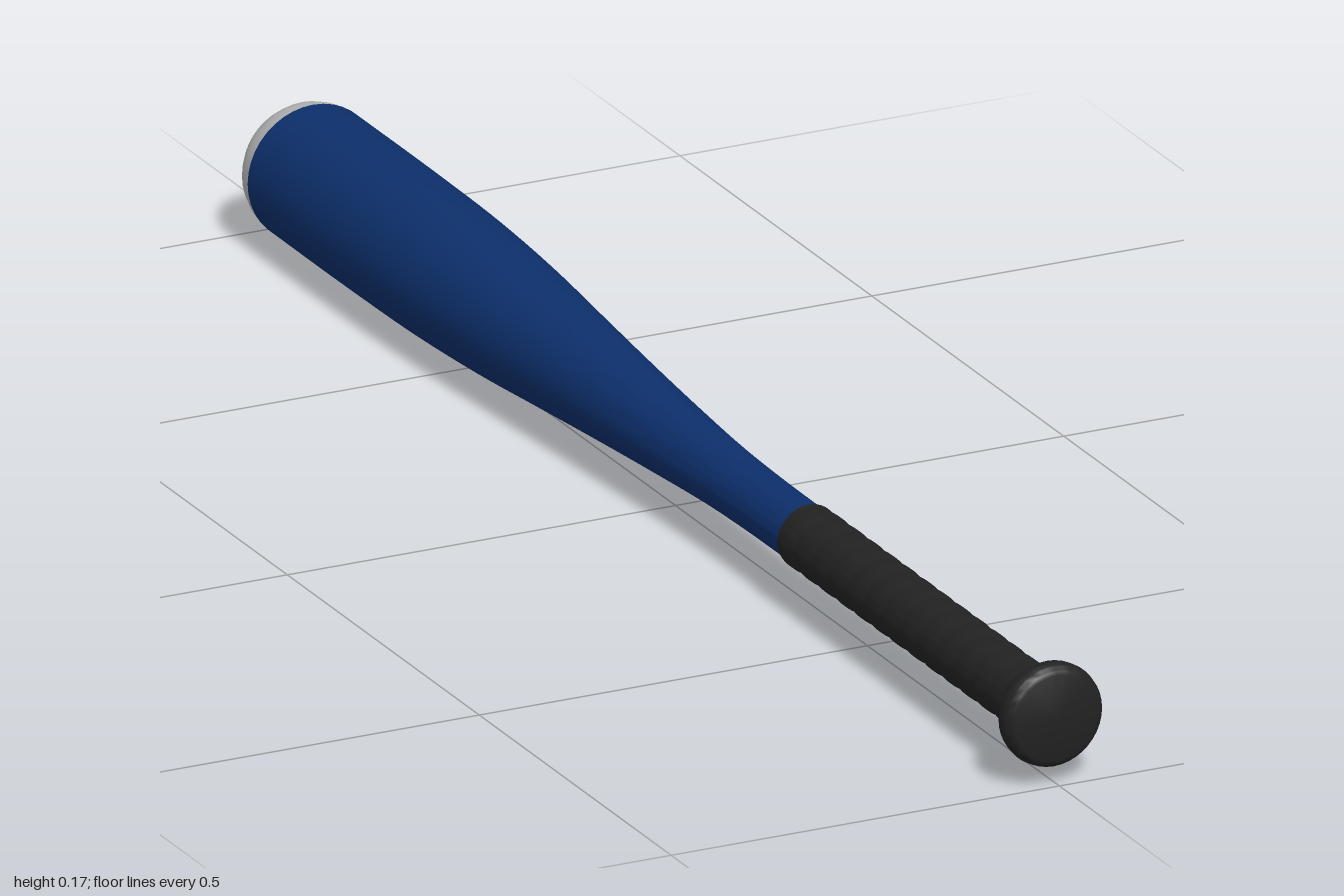
import * as THREE from 'three';
import { toCreasedNormals } from 'three/addons/utils/BufferGeometryUtils.js';

const AXIS_Y = 0.086;
const SIDES = 40;

// Turn a [z, radius] profile (back to front) around the long axis.
// The handle sits very slightly off to the right of the barrel.
function turned(name, profile, material, ripple) {
  const points = profile.map(([z, r]) => new THREE.Vector2(r, z));
  const geometry = new THREE.LatheGeometry(points, SIDES);
  geometry.rotateX(Math.PI / 2);
  const p = geometry.attributes.position;
  for (let i = 0; i < p.count; i++) {
    const x = p.getX(i), y = p.getY(i), z = p.getZ(i);
    const k = ripple ? ripple(Math.atan2(y, x), z) : 1;
    const shift = -0.003 * THREE.MathUtils.smoothstep(z, -0.6, 0.1);
    p.setXYZ(i, x * k + shift, y * k + AXIS_Y, z);
  }
  const mesh = new THREE.Mesh(toCreasedNormals(geometry, 0.7), material);
  mesh.name = name;
  return mesh;
}

// Smoothly resample a few profile points
function smooth(profile, steps) {
  const curve = new THREE.CatmullRomCurve3(
    profile.map(([z, r]) => new THREE.Vector3(z, r, 0)));
  return curve.getPoints(steps).map((v) => [v.x, v.y]);
}

export function createModel() {
  const mat = (name, color) => {
    const m = new THREE.MeshStandardMaterial({ color });
    m.name = name;
    return m;
  };
  const blue = mat('navy blue', 0x0d2f6b);
  const black = mat('black rubber', 0x222222);
  const grey = mat('light grey', 0xb4b4b4);

  const bat = new THREE.Group();
  bat.name = 'baseballBat';

  // Rounded end cap
  bat.add(turned('endCap', [
    [-1, 0], [-1, 0.044], [-0.996, 0.058], [-0.986, 0.07],
    [-0.972, 0.078], [-0.958, 0.082], [-0.945, 0.083],
  ], grey));

  // Barrel tapering to the handle
  bat.add(turned('barrel', smooth([
    [-0.945, 0.084], [-0.75, 0.084], [-0.58, 0.082], [-0.42, 0.075],
    [-0.28, 0.065], [-0.14, 0.055], [0, 0.046], [0.13, 0.039],
    [0.24, 0.0365], [0.355, 0.036],
  ], 48), blue));

  // Grip with a spirally wound tape
  const grip = [[0.35, 0.036]];
  for (let i = 0; i <= 120; i++) grip.push([0.35 + 0.59 * i / 120, 0.039]);
  bat.add(turned('gripTape', grip, black, (angle, z) => {
    const turn = z / 0.046 + angle / (2 * Math.PI);
    const lap = turn - Math.floor(turn);
    return 0.955 + 0.07 * Math.sqrt(Math.sin(Math.PI * lap));
  }));

  // Flared knob
  bat.add(turned('knob', [
    [0.925, 0.037], [0.942, 0.041], [0.954, 0.048], [0.964, 0.057],
    [0.973, 0.062], [0.983, 0.0635], [0.992, 0.062], [0.998, 0.058],
    [1, 0.053], [1, 0],
  ], black));

  return bat;
}
